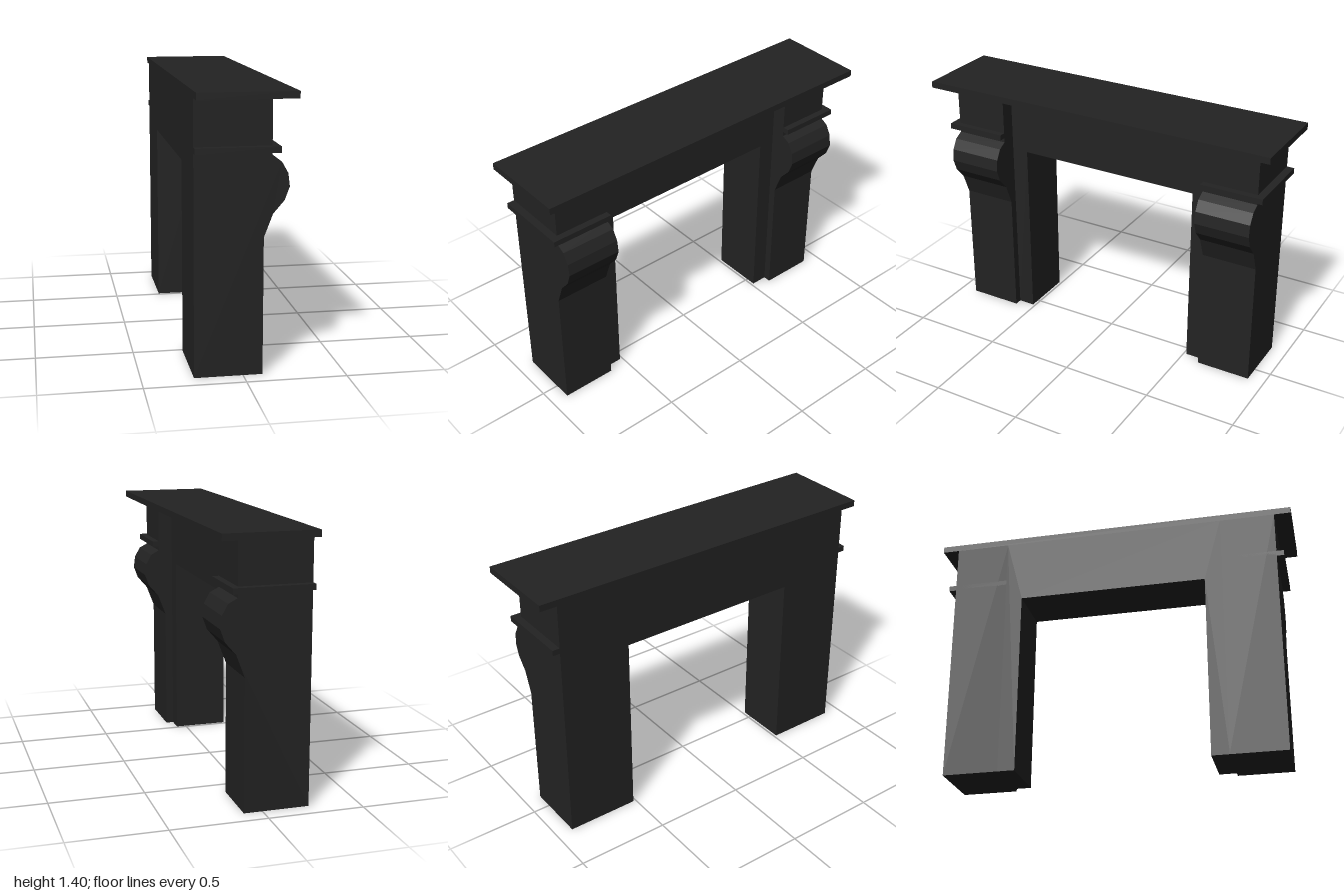
import * as THREE from 'three';

const BACK = -0.243, HEIGHT = 1.365;

export function createModel() {
  const group = new THREE.Group();
  const charcoal = new THREE.MeshStandardMaterial({ color: 0x232323 });
  charcoal.name = 'charcoal';

  const add = (name, geometry) => {
    const mesh = new THREE.Mesh(geometry, charcoal);
    mesh.name = name;
    group.add(mesh);
  };
  const box = (name, x0, x1, y0, y1, z0, z1) => {
    const g = new THREE.BoxGeometry(x1 - x0, y1 - y0, z1 - z0);
    g.translate((x0 + x1) / 2, (y0 + y1) / 2, (z0 + z1) / 2);
    add(name, g);
  };
  const extrude = (points, depth) => new THREE.ExtrudeGeometry(
    new THREE.Shape(points.map(([x, y]) => new THREE.Vector2(x, y))),
    { depth, bevelEnabled: false });

  // Inner surround: two jambs and the lintel in one arch
  const surround = extrude([
    [-0.61, 0], [-0.515, 0], [-0.515, 1.01], [0.515, 1.01],
    [0.515, 0], [0.61, 0], [0.61, HEIGHT], [-0.61, HEIGHT],
  ], 0.055 - BACK);
  surround.rotateY(-Math.PI / 2);
  surround.translate(0.055, 0, 0);
  add('surround', surround);

  // Side profile of a pilaster with its scrolled corbel and frieze block
  const profile = [
    [BACK, 0], [0.097, 0], [0.097, 0.69], [0.141, 0.805], [0.197, 0.87],
    [0.221, 0.935], [0.213, 1.0], [0.182, 1.055], [0.135, 1.08],
    [0.135, HEIGHT], [BACK, HEIGHT],
  ];
  for (const [side, s] of [['left', -1], ['right', 1]]) {
    const pilaster = extrude(profile, 0.3);
    pilaster.translate(0, 0, s > 0 ? 0.608 : -0.908);
    add(side + 'Pilaster', pilaster);

    // Moulding band wrapping the front and outer side
    const z = [s * 0.608, s * 0.948].sort((a, b) => a - b);
    box(side + 'Moulding', BACK, 0.171, 1.105, 1.135, z[0], z[1]);
  }

  // Mantel shelf
  box('mantelShelf', BACK, 0.243, HEIGHT, 1.4, -1, 1);
  return group;
}
